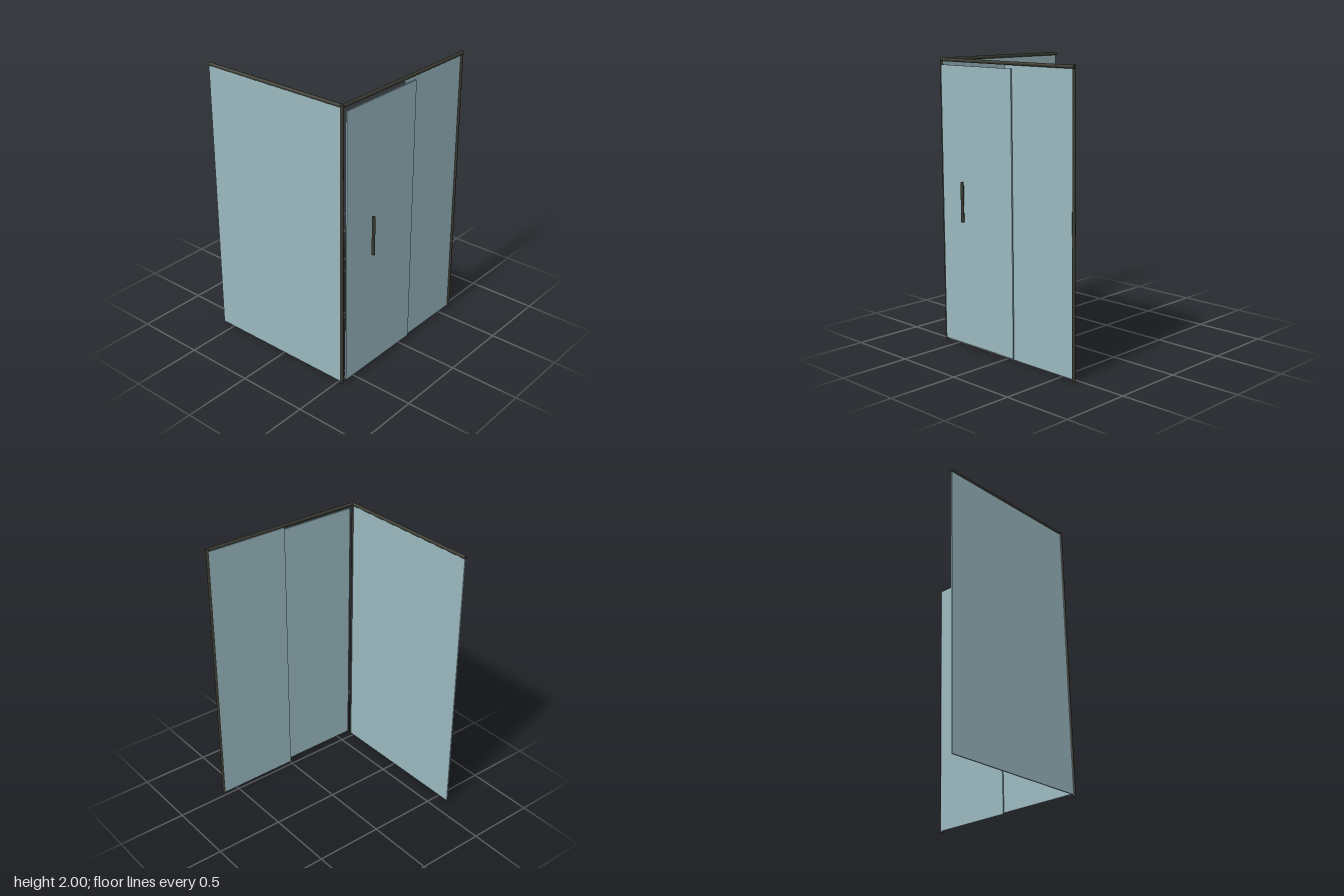
import * as THREE from 'three';

export function createModel() {
  const group = new THREE.Group();
  const glass = new THREE.MeshStandardMaterial({ color: 0x9ab8bf });
  glass.name = 'pale blue glass';
  const metal = new THREE.MeshStandardMaterial({ color: 0x3a3a32 });
  metal.name = 'dark metal';

  // Flat pane given by its min and max corners
  function pane(name, min, max) {
    const a = new THREE.Vector3(...min), b = new THREE.Vector3(...max);
    const size = b.clone().sub(a);
    const mesh = new THREE.Mesh(new THREE.BoxGeometry(size.x, size.y, size.z), glass);
    mesh.position.copy(a).add(b).multiplyScalar(0.5);
    mesh.name = name;
    group.add(mesh);
  }

  // Round bar between two points
  function bar(name, from, to, radius) {
    const a = new THREE.Vector3(...from), b = new THREE.Vector3(...to);
    const dir = b.clone().sub(a);
    const mesh = new THREE.Mesh(new THREE.CylinderGeometry(radius, radius, dir.length(), 24), metal);
    mesh.position.copy(a).add(b).multiplyScalar(0.5);
    mesh.quaternion.setFromUnitVectors(new THREE.Vector3(0, 1, 0), dir.normalize());
    mesh.name = name;
    group.add(mesh);
  }

  // Glass: front wall, fixed side panel and sliding door outside it
  pane('frontPanel', [-0.59, 0.01, 0.608], [0.525, 1.98, 0.618]);
  pane('fixedSidePanel', [0.517, 0.01, -0.612], [0.527, 1.98, 0]);
  pane('slidingDoor', [0.54, 0.025, -0.085], [0.55, 1.955, 0.595]);

  // Top rails
  bar('frontRail', [-0.595, 1.988, 0.611], [0.535, 1.988, 0.611], 0.012);
  bar('sideRail', [0.531, 1.988, -0.621], [0.531, 1.988, 0.611], 0.012);

  // Corner and wall posts
  bar('cornerPost', [0.527, 0, 0.614], [0.527, 2, 0.614], 0.011);
  bar('wallPost', [0.527, 0, -0.614], [0.527, 2, -0.614], 0.011);

  // Door handle
  bar('doorHandle', [0.58, 0.9, 0.365], [0.58, 1.175, 0.365], 0.011);

  return group;
}
